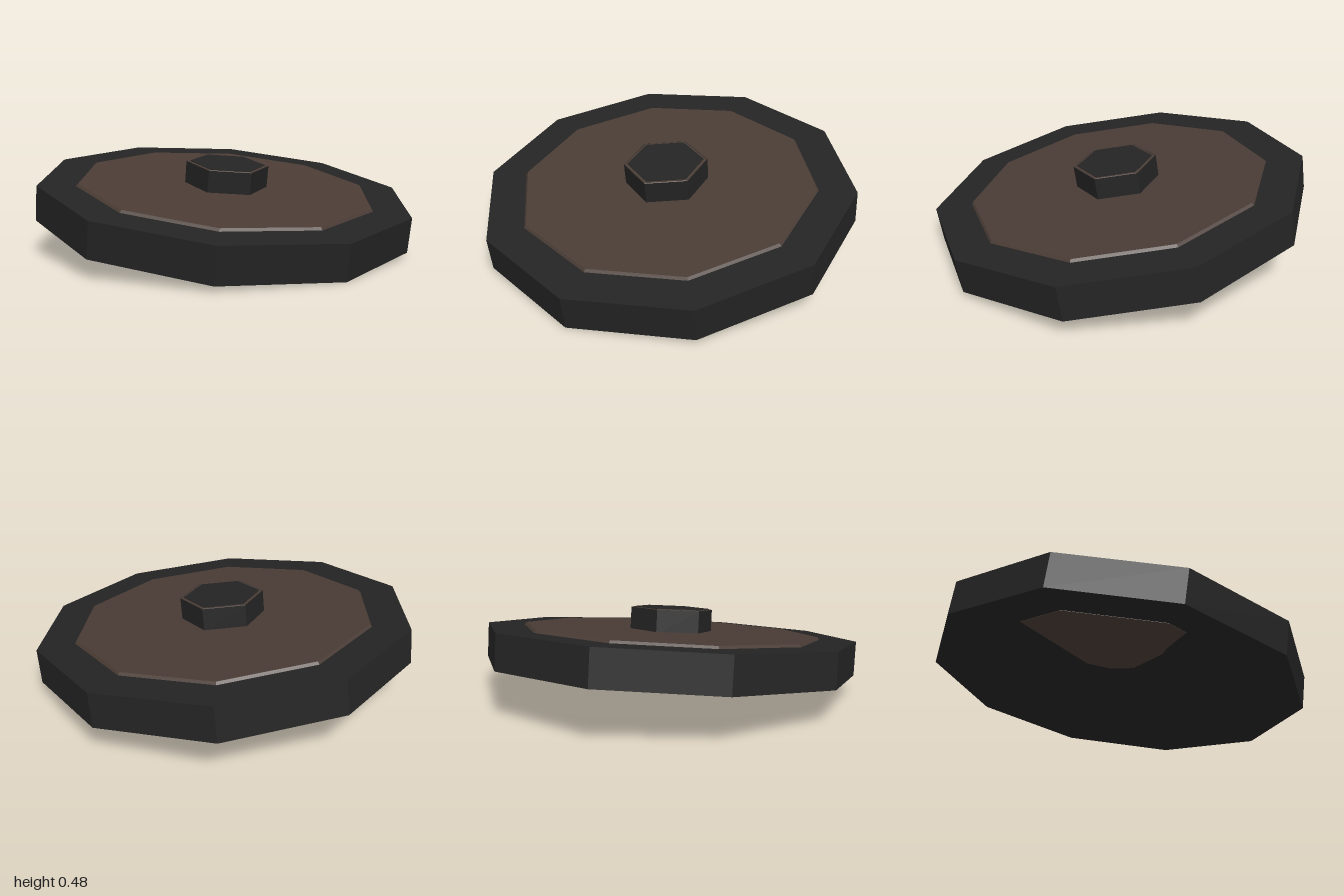
import * as THREE from 'three';

const black = new THREE.MeshStandardMaterial({ color: 0x242424 });
black.name = 'black rubber';
const brown = new THREE.MeshStandardMaterial({ color: 0x4a3c35 });
brown.name = 'dark brown';
black.flatShading = brown.flatShading = true;

// Upright prism standing on y, with a corner facing the front
function prism(name, material, sides, rTop, rBottom, y, height) {
  const geometry = new THREE.CylinderGeometry(rTop, rBottom, height, sides);
  geometry.translate(0, y + height / 2, 0);
  const mesh = new THREE.Mesh(geometry, material);
  mesh.name = name;
  return mesh;
}

export function createModel() {
  const model = new THREE.Group();
  model.name = 'tiltedDisc';

  // Ten-sided body and its slightly raised, chamfered face
  model.add(prism('body', black, 10, 0.994, 0.994, -0.091, 0.182));
  model.add(prism('face', brown, 10, 0.787, 0.8, 0.088, 0.016));

  // Six-sided hub with a thin rim and a cap
  model.add(prism('hub', black, 6, 0.22, 0.22, 0.09, 0.129));
  model.add(prism('hubRim', brown, 6, 0.214, 0.218, 0.218, 0.003));
  model.add(prism('hubCap', black, 6, 0.2, 0.2, 0.22, 0.004));

  // Irregular brown patch on the underside
  const outline = [
    [-0.24, 0.09], [-0.2, -0.03], [-0.23, -0.15], [-0.6, -0.45], [-0.76, -0.247],
    [-0.76, 0.247], [-0.69, 0.33], [-0.51, 0.25], [-0.44, 0.23],
  ].map(([x, z]) => new THREE.Vector2(x, z));
  const patch = new THREE.Mesh(
    new THREE.ExtrudeGeometry(new THREE.Shape(outline), { depth: 0.003, bevelEnabled: false }),
    brown
  );
  patch.name = 'undersidePatch';
  patch.rotation.x = Math.PI / 2;
  patch.position.y = -0.09;
  model.add(patch);

  // Lean the disc down towards the front
  model.rotation.x = 0.141;
  model.position.y = 0.23;

  const root = new THREE.Group();
  root.add(model);
  return root;
}
